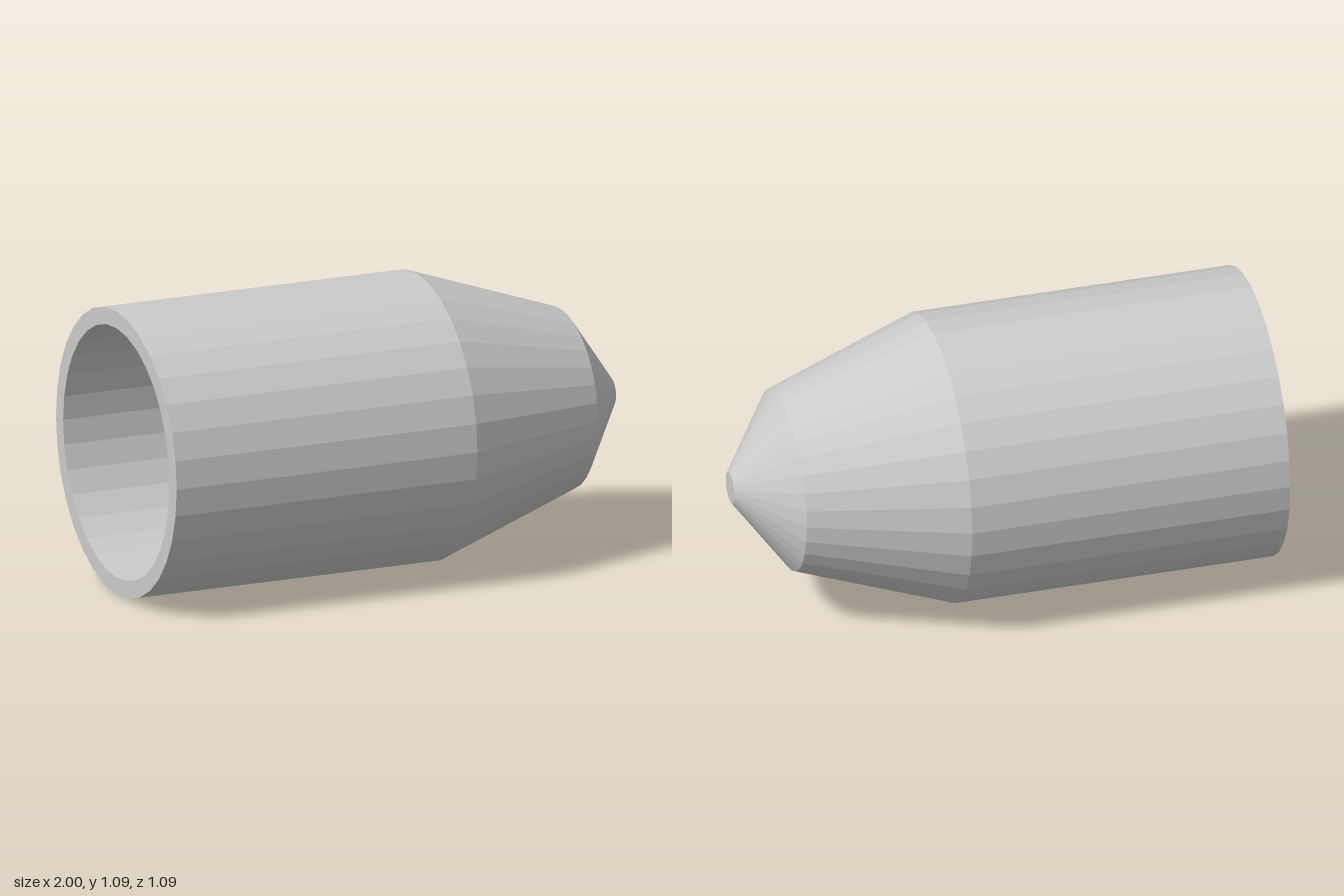
import * as THREE from 'three';

const RADIUS = 0.545;
const SIDES = 32;

export function createModel() {
  const group = new THREE.Group();
  group.name = 'hollowNoseCone';

  // Closed wall section as [radius, position along x]: inside, open rim, outside
  const section = [
    [0, 0.93], [0.055, 0.93], [0.285, 0.765], [0.48, 0.21], [0.48, -1], // bore
    [RADIUS, -1], [RADIUS, 0.22], // rim and barrel
    [0.343, 0.8], // taper
    [0.06, 1], [0, 1], // nose and flat tip
  ].map(([r, x]) => new THREE.Vector2(r, x));

  // Turn the section, then lay its axis along +x
  const geometry = new THREE.LatheGeometry(section, SIDES);
  geometry.rotateZ(-Math.PI / 2);
  geometry.translate(0, RADIUS, 0);

  const shell = new THREE.Mesh(
    geometry,
    new THREE.MeshStandardMaterial({ color: 0xcccccc, flatShading: true })
  );
  shell.name = 'shell';
  group.add(shell);
  return group;
}
